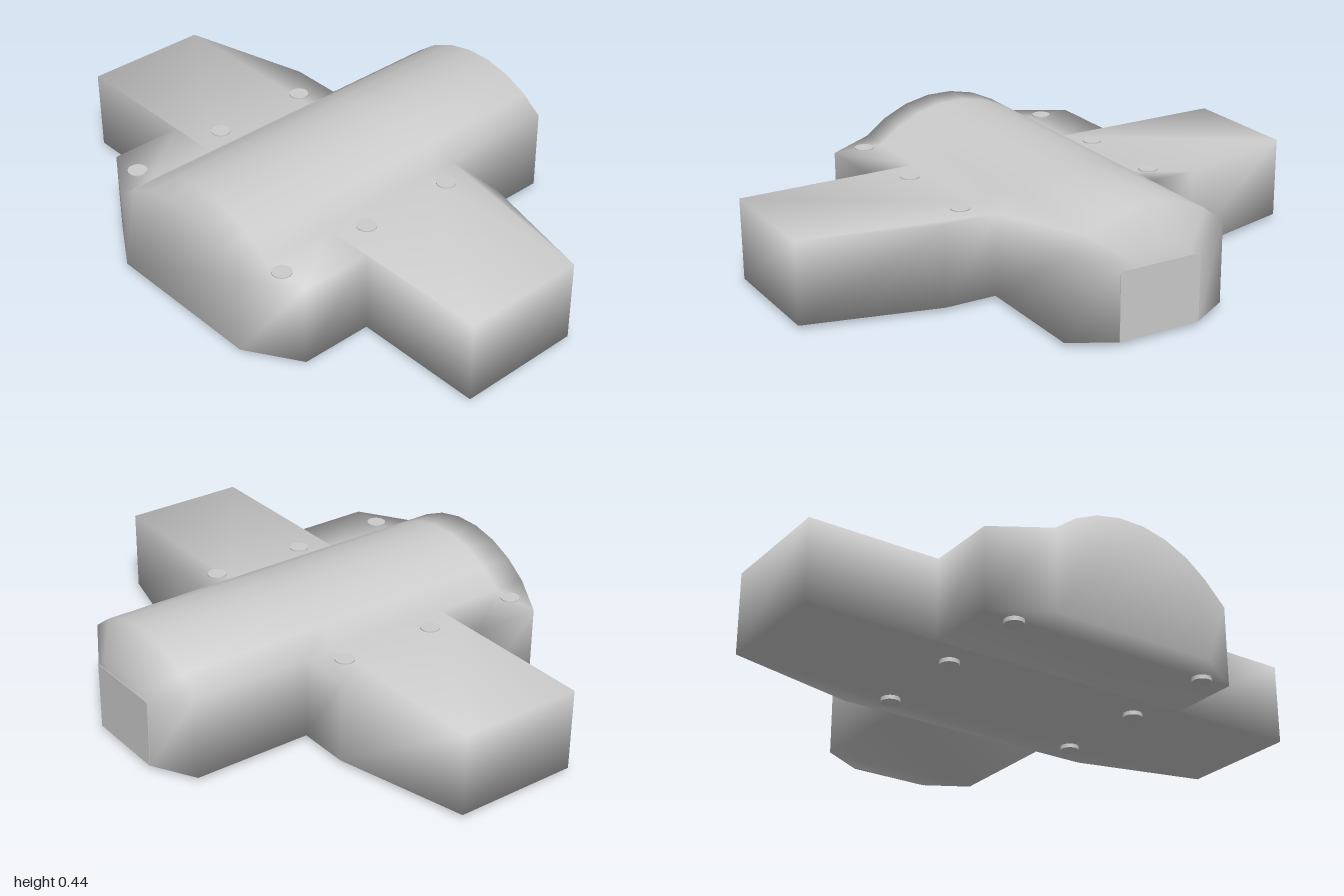
import * as THREE from 'three';
import { mergeVertices } from 'three/addons/utils/BufferGeometryUtils.js';

const BOTTOM = 0.015;
const ARC_STEPS = 7;

// Half-circle-like dome arc: width 2 * foot, rising by height above deck
function domeArc(foot, deck, height) {
  const radius = (foot * foot + height * height) / (2 * height);
  const half = Math.asin(foot / radius);
  const points = [];
  for (let i = 0; i <= ARC_STEPS; i++) {
    const a = half * (2 * i / ARC_STEPS - 1);
    points.push([deck + height - radius * (1 - Math.cos(a)), radius * Math.sin(a)]);
  }
  return points;
}

// Loft of cross-sections along x; repeated x values make the stepped walls
function hullGeometry() {
  // x, half width, dome foot, deck height, dome height
  const sections = [
    [-0.762, 0.315, 0.315, 0.318, 0.124],
    [-0.64, 0.51, 0.315, 0.318, 0.124],
    [-0.37, 0.51, 0.315, 0.318, 0.124],
    [-0.37, 1.0, 0.315, 0.318, 0.124],
    [0.097, 1.0, 0.315, 0.318, 0.124],
    [0.222, 0.51, 0.315, 0.318, 0.124],
    [0.222, 0.315, 0.315, 0.318, 0.124],
    [0.67, 0.315, 0.315, 0.318, 0.124],
    [0.76, 0.158, 0.158, 0.265, 0.055],
  ];
  const positions = [];
  const index = [];
  const n = ARC_STEPS + 5;
  for (const [x, w, foot, deck, height] of sections) {
    const ring = [[BOTTOM, -w], [deck, -w], ...domeArc(foot, deck, height), [deck, w], [BOTTOM, w]];
    for (const [y, z] of ring) positions.push(x, y, z);
  }
  for (let s = 0; s < sections.length - 1; s++) {
    for (let i = 0; i < n; i++) {
      const a = s * n + i;
      const b = s * n + (i + 1) % n;
      index.push(a, b, a + n, b, b + n, a + n);
    }
  }
  // End caps
  const last = (sections.length - 1) * n;
  for (let i = 1; i < n - 1; i++) {
    index.push(0, i + 1, i);
    index.push(last, last + i, last + i + 1);
  }
  const geometry = new THREE.BufferGeometry();
  geometry.setAttribute('position', new THREE.Float32BufferAttribute(positions, 3));
  geometry.setIndex(index);
  const welded = mergeVertices(geometry, 1e-4);
  welded.computeVertexNormals();
  return welded;
}

export function createModel() {
  const model = new THREE.Group();
  model.name = 'lowHull';
  const material = new THREE.MeshStandardMaterial({ color: 0xcccccc });
  const add = (name, geometry, x, y, z) => {
    const mesh = new THREE.Mesh(geometry, material);
    mesh.name = name;
    mesh.position.set(x, y, z);
    model.add(mesh);
  };

  // Domed body with its two side wings and tapered nose
  add('hull', hullGeometry(), 0, 0, 0);

  // Flat panel on the end of the nose
  add('nosePanel', new THREE.BoxGeometry(0.01, 0.25, 0.316), 0.757, 0.14, 0);

  // Round pins through the deck, showing above and below
  const pin = new THREE.CylinderGeometry(0.035, 0.035, 0.322, 24);
  for (const side of [-1, 1]) {
    for (const x of [-0.635, -0.26, 0.115]) {
      add(side > 0 ? 'frontPin' : 'backPin', pin, x, 0.161, side * 0.39);
    }
  }
  return model;
}
